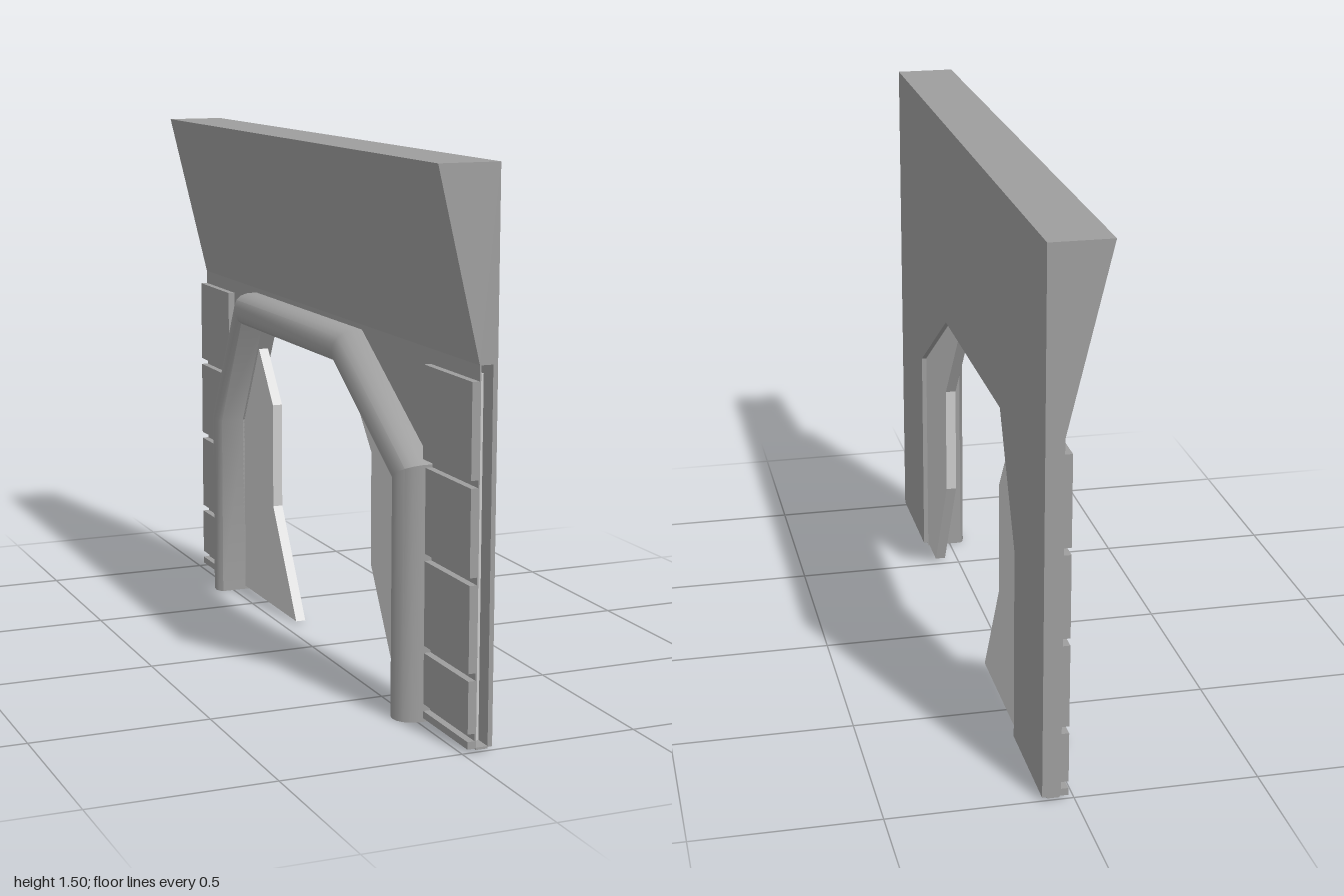
import * as THREE from 'three';
import { toCreasedNormals } from 'three/addons/utils/BufferGeometryUtils.js';

const wallMat = new THREE.MeshStandardMaterial({ color: 0x9d9d9d, side: THREE.DoubleSide });
const doorMat = new THREE.MeshStandardMaterial({ color: 0xcccccc });

// opening outline as [z, y], from the back foot over to the front foot
const arch = [[-0.67, 0], [-0.67, 0.56], [-0.49, 0.9], [0.25, 0.9], [0.65, 0.65], [0.65, 0]];

// mitred outward direction at each point of the opening
const mitres = arch.map((p, i) => {
  const normal = (a, b) => new THREE.Vector2(a[1] - b[1], b[0] - a[0]).normalize();
  const n1 = normal(arch[Math.max(i - 1, 0)], arch[Math.max(i, 1)]);
  const n2 = i < arch.length - 1 ? normal(p, arch[i + 1]) : n1;
  return n1.clone().add(n2).divideScalar(1 + n1.dot(n2));
});
const offsetArch = o => arch.map(([z, y], i) => [z + mitres[i].x * o, y + mitres[i].y * o]);

// slab with a [z, y] outline, between two x positions
function slab(name, outline, x0, x1, mat = wallMat) {
  const shape = new THREE.Shape(outline.map(p => new THREE.Vector2(p[0], p[1])));
  const geo = new THREE.ExtrudeGeometry(shape, { depth: x1 - x0, bevelEnabled: false });
  geo.rotateY(-Math.PI / 2).translate(x1, 0, 0);
  const mesh = new THREE.Mesh(geo, mat);
  mesh.name = name;
  return mesh;
}

function box(name, x0, x1, y0, y1, z0, z1) {
  const mesh = new THREE.Mesh(new THREE.BoxGeometry(x1 - x0, y1 - y0, z1 - z0), wallMat);
  mesh.position.set((x0 + x1) / 2, (y0 + y1) / 2, (z0 + z1) / 2);
  mesh.name = name;
  return mesh;
}

// rounded moulding swept around the opening
function archTrim() {
  // [outward offset, x]
  const profile = [[0, 0.04], [0, -0.036], [0.01, -0.046], [0.028, -0.05], [0.05, -0.047],
    [0.068, -0.036], [0.08, -0.018], [0.086, 0.005], [0.086, 0.04]];
  const n = profile.length, pos = [], idx = [];
  arch.forEach(([z, y], j) => profile.forEach(([o, x]) =>
    pos.push(x, y + mitres[j].y * o, z + mitres[j].x * o)));
  for (let j = 0; j < arch.length - 1; j++) {
    for (let i = 0; i < n - 1; i++) {
      const a = j * n + i, b = a + n;
      idx.push(a, b, a + 1, a + 1, b, b + 1);
    }
  }
  const last = (arch.length - 1) * n;
  for (let i = 1; i < n - 1; i++) {
    idx.push(0, i, i + 1, last, last + i + 1, last + i);
  }
  const geo = new THREE.BufferGeometry();
  geo.setAttribute('position', new THREE.Float32BufferAttribute(pos, 3));
  geo.setIndex(idx);
  const mesh = new THREE.Mesh(toCreasedNormals(geo, 0.7), wallMat);
  mesh.name = 'archTrim';
  return mesh;
}

export function createModel() {
  const group = new THREE.Group();

  // hollow wall: two skins, open at the +z end
  const outline = [[-1, 0.01], [-1, 1], [1, 1], [1, 0.01],
    ...arch.map(([z, y]) => [z, Math.max(y, 0.01)]).reverse()];
  group.add(slab('outerSkin', outline, 0.072, 0.085));
  group.add(slab('innerSkin', outline, 0.035, 0.039));
  group.add(slab('archReveal', [...arch, ...offsetArch(0.004).reverse()], 0.039, 0.072));
  group.add(box('endCap', 0.039, 0.072, 0.01, 1, -1, -0.995));
  group.add(box('backSill', 0.039, 0.072, 0.006, 0.012, -1, -0.67));
  group.add(box('frontSill', 0.039, 0.072, 0.006, 0.012, 0.65, 1));

  // flared header: triangular section run along z
  const section = new THREE.Shape([[0.035, 1], [0.085, 1], [0.085, 1.5], [-0.085, 1.5]]
    .map(p => new THREE.Vector2(p[0], p[1])));
  const header = new THREE.Mesh(
    new THREE.ExtrudeGeometry(section, { depth: 2, bevelEnabled: false }).translate(0, 0, -1), wallMat);
  header.name = 'flaredHeader';
  group.add(header);

  group.add(archTrim());

  // planks beside the trim, with narrow grooves between
  const rows = [[0.01, 0.03], [0.05, 0.19], [0.21, 0.44], [0.46, 0.69], [0.71, 0.96]];
  for (const [y0, y1] of rows) {
    group.add(box('backPlank', 0.015, 0.036, y0, y1, -1, -0.74));
    group.add(box('frontPlank', 0.015, 0.036, y0, y1, 0.72, 1));
  }

  // sliding door leaves, running back inside the wall
  group.add(slab('frontDoor', [[0.95, 0.01], [0.52, 0.01], [0.33, 0.33], [0.33, 0.65],
    [0.06, 0.97], [0.95, 0.97]], 0.041, 0.071, doorMat));
  group.add(slab('backDoor', [[-0.95, 0.01], [-0.23, 0.01], [-0.42, 0.33], [-0.42, 0.65],
    [-0.66, 0.97], [-0.95, 0.97]], 0.041, 0.071, doorMat));

  return group;
}
